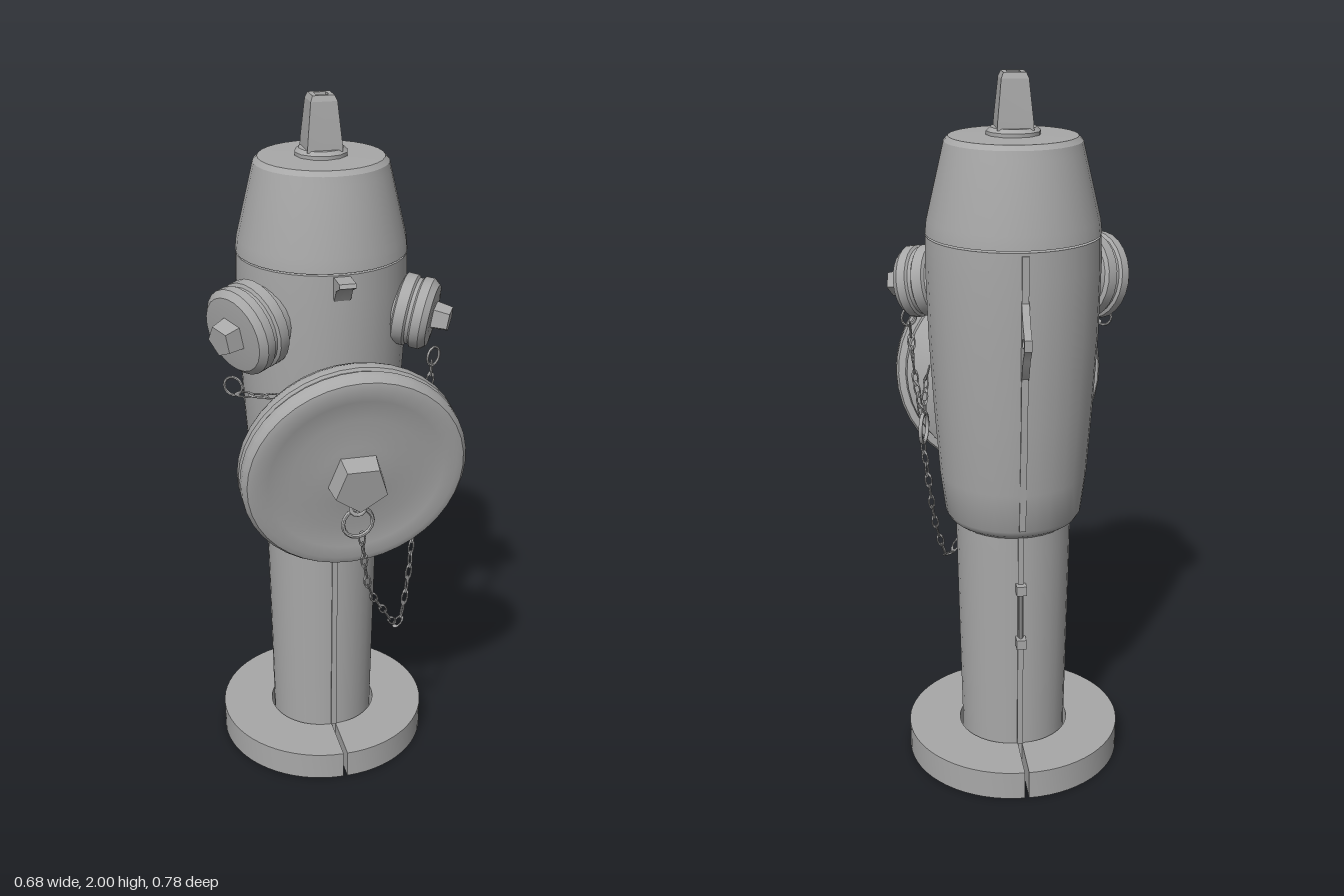
import * as THREE from 'three';
import { toCreasedNormals } from 'three/addons/utils/BufferGeometryUtils.js';

const AXIS_X = 0.01, AXIS_Z = -0.08;
const iron = new THREE.MeshStandardMaterial({ color: 0xa8a8a8 });
iron.name = 'cast iron grey';

const V = (x, y, z) => new THREE.Vector3(x, y, z);

function add(parent, name, geometry, crease = 0.6) {
  const mesh = new THREE.Mesh(toCreasedNormals(geometry, crease), iron);
  mesh.name = name;
  parent.add(mesh);
  return mesh;
}

// Profile points are [radius, height], listed from bottom to top
function turned(profile, segments = 32) {
  return new THREE.LatheGeometry(profile.map(([r, y]) => new THREE.Vector2(r, y)), segments);
}

// Flat plate drawn in the (z, y) plane with its thickness along x
function plate(points, width, hole) {
  const shape = new THREE.Shape(points.map(([z, y]) => new THREE.Vector2(z, y)));
  if (hole) shape.holes.push(new THREE.Path().absarc(hole[0], hole[1], hole[2], 0, Math.PI * 2, true));
  const g = new THREE.ExtrudeGeometry(shape, { depth: width, bevelEnabled: false, curveSegments: 6 });
  return g.rotateY(-Math.PI / 2).translate(width / 2, 0, 0);
}

// Group whose local +y points along a direction
function aimed(parent, name, position, direction) {
  const g = new THREE.Group();
  g.name = name;
  g.position.copy(position);
  g.quaternion.setFromUnitVectors(V(0, 1, 0), direction.clone().normalize());
  parent.add(g);
  return g;
}

// Half of the split foot flange; side is +1 or -1
function flangeHalf(side) {
  const a = Math.PI / 2, gap = 0.006;
  const s = new THREE.Shape();
  s.absarc(0, 0, 0.307, -a, a, false);
  s.absarc(0, 0, 0.155, a, -a, true);
  const g = new THREE.ExtrudeGeometry(s, { depth: 0.085, bevelEnabled: false, curveSegments: 16 });
  g.rotateX(-Math.PI / 2).translate(gap, 0, 0);
  return side > 0 ? g : g.rotateY(Math.PI);
}

// Hose outlet: neck, banded cap and five-sided nut
function hoseOutlet(parent, name, y, direction, r, reach) {
  const g = aimed(parent, name, V(0, y, 0), direction);
  add(g, 'outletNeckAndCap', turned([
    [r * 0.85, 0.1], [r * 0.85, reach - 0.115], [r * 0.9, reach - 0.1], [r, reach - 0.095],
    [r, reach - 0.065], [r * 0.93, reach - 0.06], [r * 0.93, reach - 0.05], [r, reach - 0.045],
    [r, reach - 0.02], [r * 0.86, reach - 0.003], [r * 0.6, reach], [0, reach],
  ], 24));
  const nut = new THREE.CylinderGeometry(r * 0.36, r * 0.42, 0.05, 5);
  add(g, 'outletNut', nut.translate(0, reach + 0.02, 0), 0.2);
  return g;
}

// Row of oval links along a curve, each turned a quarter from the last
function chain(parent, name, points) {
  const g = new THREE.Group();
  g.name = name;
  const curve = new THREE.CatmullRomCurve3(points);
  const count = Math.round(curve.getLength() / 0.038);
  const link = new THREE.TorusGeometry(0.0095, 0.0028, 5, 10).scale(1, 2.3, 1);
  for (let i = 0; i < count; i++) {
    const t = (i + 0.5) / count;
    const m = add(g, 'chainLink', link, 1.2);
    m.position.copy(curve.getPointAt(t));
    m.quaternion.setFromUnitVectors(V(0, 1, 0), curve.getTangentAt(t));
    m.rotateY(i % 2 ? Math.PI / 2 : 0.2);
  }
  parent.add(g);
}

function ring(parent, name, r, tube, x, y, z, turn) {
  const m = add(parent, name, new THREE.TorusGeometry(r, tube, 6, 16), 1.2);
  m.position.set(x, y, z);
  m.rotation.y = turn;
}

export function createModel() {
  const model = new THREE.Group();
  model.name = 'fireHydrant';
  const column = new THREE.Group();
  column.name = 'column';
  column.position.set(AXIS_X, 0, AXIS_Z);
  model.add(column);

  // Foot flange in two halves
  for (const side of [1, -1]) add(column, side > 0 ? 'leftFlange' : 'rightFlange', flangeHalf(side));

  // Standpipe, barrel and bonnet
  add(column, 'standpipe', turned([[0, 0.008], [0.153, 0.008], [0.153, 0.1], [0.164, 0.7], [0.164, 0.79]]));
  add(column, 'barrel', turned([
    [0.15, 0.75], [0.166, 0.755], [0.184, 0.768], [0.194, 0.785], [0.208, 0.9], [0.222, 1.1],
    [0.233, 1.3], [0.238, 1.5], [0.236, 1.578], [0, 1.578],
  ]));
  add(column, 'bonnet', turned([
    [0, 1.576], [0.237, 1.583], [0.233, 1.62], [0.19, 1.8], [0.184, 1.825], [0.172, 1.838], [0, 1.842],
  ]), 0.5);

  // Operating nut on its washer
  add(column, 'washer', turned([[0.073, 1.838], [0.073, 1.85], [0.062, 1.86], [0, 1.86]], 12));
  const nut = turned([[0.068, 1.855], [0.066, 1.88], [0.051, 1.985], [0.042, 2], [0.024, 2],
    [0.02, 1.98], [0, 1.98]], 4);
  add(column, 'operatingNut', nut.rotateY(Math.PI / 4), 0.3);

  // Casting seams along the front and back
  add(column, 'frontPipeSeam', plate([[0.14, 0.085], [0.158, 0.085], [0.169, 0.76], [0.14, 0.76]], 0.016));
  add(column, 'backPipeSeam', plate([[-0.14, 0.085], [-0.14, 0.76], [-0.171, 0.76], [-0.16, 0.085]], 0.016));
  add(column, 'backBarrelSeam', plate([
    [-0.18, 0.79], [-0.18, 1.57], [-0.241, 1.57], [-0.241, 1.3], [-0.228, 1.1], [-0.2, 0.79],
  ], 0.018));

  // Rear lug with a hole, and the small clips on the standpipe
  add(column, 'rearLug', plate([
    [-0.21, 1.22], [-0.21, 1.47], [-0.24, 1.45], [-0.262, 1.4], [-0.293, 1.365], [-0.293, 1.335],
    [-0.265, 1.3], [-0.245, 1.25],
  ], 0.02, [-0.268, 1.35, 0.013]));
  add(column, 'rearRod', new THREE.CylinderGeometry(0.006, 0.006, 0.2, 8).translate(0, 0.51, -0.169));
  for (const y of [0.43, 0.6]) {
    add(column, 'rearClip', new THREE.BoxGeometry(0.028, 0.028, 0.03).translate(0, y, -0.172));
  }

  // Front hook under the bonnet
  add(column, 'frontHook', plate([
    [0.21, 1.5], [0.24, 1.51], [0.262, 1.545], [0.3, 1.563], [0.295, 1.574], [0.21, 1.574],
  ], 0.045));

  // Large front outlet, leaning slightly downwards
  const pumper = aimed(model, 'pumperOutlet', V(AXIS_X, 1.075, 0.32), V(0, -0.18, 0.98));
  add(pumper, 'pumperNeckAndCap', turned([
    [0.18, -0.32], [0.172, -0.25], [0.185, -0.2], [0.215, -0.165], [0.258, -0.14], [0.28, -0.12],
    [0.283, -0.09], [0.303, -0.084], [0.309, -0.072], [0.309, -0.05], [0.302, -0.044], [0.302, -0.038],
    [0.309, -0.032], [0.308, -0.012], [0.296, 0.004], [0.275, 0.01], [0.24, 0.004], [0.18, -0.003],
    [0.1, 0.006], [0, 0.008],
  ], 40));
  const pentagon = new THREE.CylinderGeometry(0.074, 0.082, 0.062, 5);
  add(pumper, 'pumperNut', pentagon.translate(0, 0.034, 0), 0.2);

  // Two hose outlets
  hoseOutlet(column, 'leftHoseOutlet', 1.465, V(0.87, -0.16, 0.48), 0.1, 0.325);
  hoseOutlet(column, 'rightHoseOutlet', 1.465, V(-0.86, -0.16, 0.51), 0.123, 0.335);

  // Chains and their rings
  ring(model, 'leftOutletRing', 0.026, 0.004, 0.285, 1.305, 0.1, 0.6);
  ring(model, 'rightOutletRing', 0.026, 0.004, -0.28, 1.28, 0.12, -0.6);
  ring(model, 'chainGatherRing', 0.045, 0.006, 0.25, 0.965, 0.1, Math.PI / 2 - 0.3);
  ring(model, 'capRing', 0.043, 0.006, 0.017, 0.93, 0.315, 0.1);
  add(model, 'capRingEye', new THREE.TorusGeometry(0.02, 0.006, 6, 12).translate(0.012, 0.985, 0.335), 1.2);
  chain(model, 'leftOutletChain', [V(0.283, 1.285, 0.095), V(0.275, 1.15, 0.09), V(0.255, 1.0, 0.1)]);
  chain(model, 'rightOutletChain', [
    V(-0.27, 1.26, 0.13), V(-0.15, 1.25, 0.145), V(0, 1.31, 0.175), V(0.13, 1.27, 0.185),
    V(0.225, 1.13, 0.17), V(0.25, 1.0, 0.11),
  ]);
  chain(model, 'capChain', [
    V(0.255, 0.925, 0.1), V(0.24, 0.8, 0.11), V(0.215, 0.62, 0.145), V(0.175, 0.51, 0.19),
    V(0.11, 0.6, 0.24), V(0.06, 0.7, 0.28), V(0.03, 0.89, 0.305),
  ]);
  return model;
}
